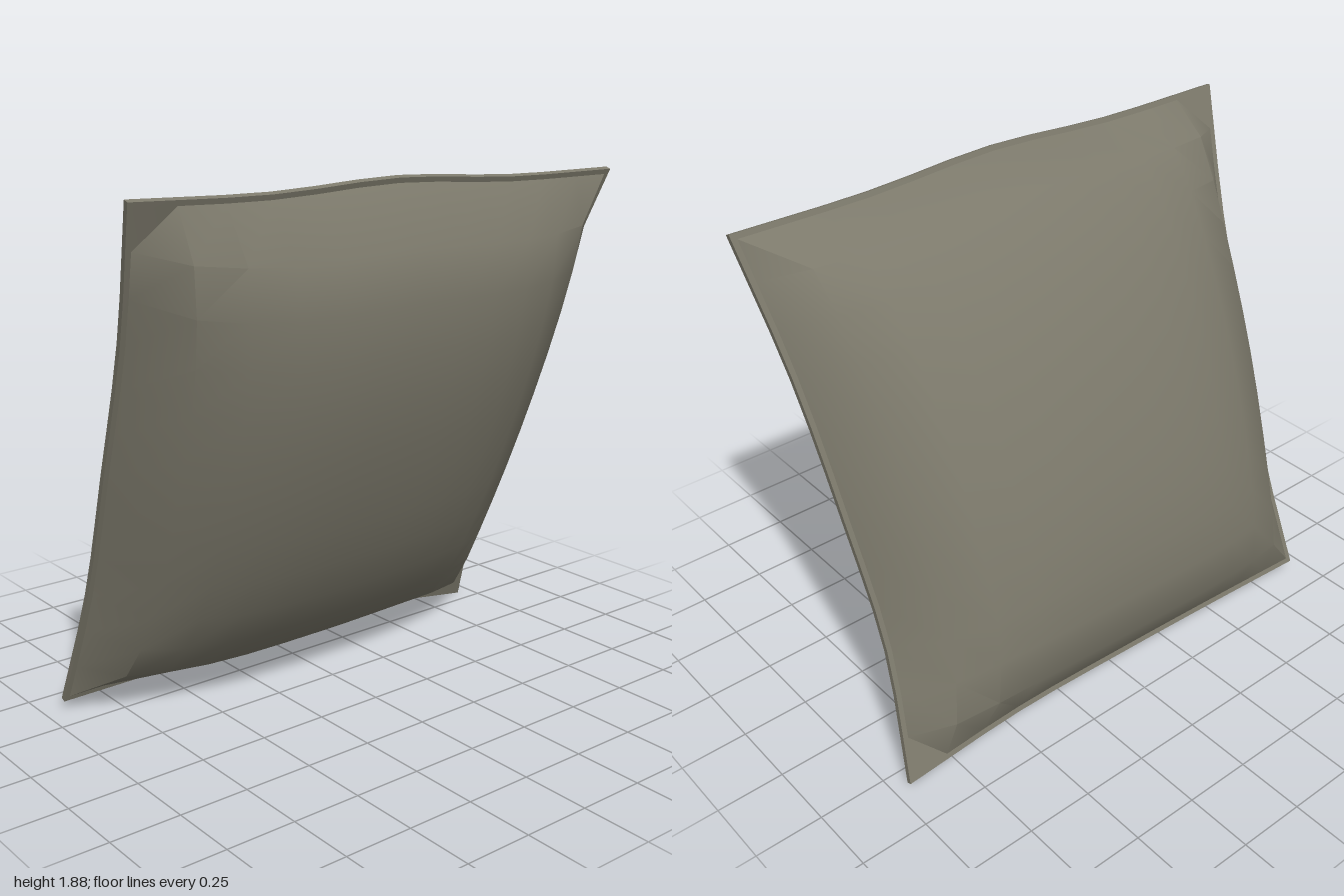
import * as THREE from 'three';
import { toCreasedNormals } from 'three/addons/utils/BufferGeometryUtils.js';

const V = (x, y, z) => new THREE.Vector3(x, y, z);
const curve = (...p) => new THREE.CatmullRomCurve3(p.map((a) => V(...a)));

// Seam edges: bottom and top run back to front, back and front run bottom to top
const bottom = curve([-0.32, 0.005, -0.94], [-0.335, 0.06, -0.47], [-0.345, 0.06, 0], [-0.355, 0.05, 0.47], [-0.37, 0.04, 0.93]);
const top = curve([0.36, 1.85, -1], [0.35, 1.85, -0.5], [0.345, 1.875, 0], [0.33, 1.852, 0.5], [0.31, 1.86, 1]);
const back = curve([-0.32, 0.005, -0.94], [-0.16, 0.47, -0.89], [0, 0.93, -0.91], [0.18, 1.4, -0.94], [0.36, 1.85, -1]);
const front = curve([-0.37, 0.04, 0.93], [-0.2, 0.48, 0.91], [-0.02, 0.95, 0.93], [0.15, 1.41, 0.95], [0.31, 1.86, 1]);

const NORMAL = V(0.938, -0.347, 0); // points out of the lower, +x face
const SEAM = 0.01; // half thickness of the seam
const RIM = 0.01; // share of the width taken by the flat seam
const N = 12;

// Grid lines: a narrow seam at both ends and even cells between
const LINES = [0, RIM, ...Array.from({ length: N - 1 }, (_, i) => (i + 1) / N), 1 - RIM, 1];

// Sheet blended between the four seam edges
function sheet(u, v) {
  const p = V(0, 0, 0);
  const add = (q, k) => p.addScaledVector(q, k);
  add(bottom.getPoint(u), 1 - v);
  add(top.getPoint(u), v);
  add(back.getPoint(v), 1 - u);
  add(front.getPoint(v), u);
  add(bottom.getPoint(0), -(1 - u) * (1 - v));
  add(bottom.getPoint(1), -u * (1 - v));
  add(top.getPoint(0), -(1 - u) * v);
  add(top.getPoint(1), -u * v);
  return p;
}

// Rounded rise from the seam, flat on the seam itself
function dome(t, p) {
  const s = Math.min(1, Math.abs(2 * t - 1) / (1 - 2 * RIM));
  return Math.sqrt(1 - s ** p);
}

// Stuffed face: side is +1 or -1, height is the depth of the stuffing
function face(side, height) {
  return (u, v) => {
    const d = SEAM + (height - SEAM) * dome(u, 2.5) * dome(v, 2.2);
    return sheet(u, v).addScaledVector(NORMAL, side * d);
  };
}

// Grid surface from a rule, sampled on the given lines
function surface(rule, us, vs, flip) {
  const pos = vs.flatMap((v) => us.flatMap((u) => rule(u, v).toArray()));
  const index = [];
  for (let j = 0; j < vs.length - 1; j++) {
    for (let i = 0; i < us.length - 1; i++) {
      const a = j * us.length + i;
      const b = a + 1;
      const c = a + us.length;
      const d = c + 1;
      if (flip) index.push(a, c, b, b, c, d);
      else index.push(a, b, c, b, d, c);
    }
  }
  const g = new THREE.BufferGeometry();
  g.setAttribute('position', new THREE.Float32BufferAttribute(pos, 3));
  g.setIndex(index);
  return toCreasedNormals(g, 0.6);
}

export function createModel() {
  const group = new THREE.Group();
  group.name = 'cushion';
  const fabric = new THREE.MeshStandardMaterial({ color: 0x7c796b });
  fabric.name = 'olive grey fabric';

  const add = (name, geometry) => {
    const mesh = new THREE.Mesh(geometry, fabric);
    mesh.name = name;
    group.add(mesh);
  };

  // Two stuffed faces
  add('lowerFace', surface(face(1, 0.364), LINES, LINES, true));
  add('upperFace', surface(face(-1, 0.335), LINES, LINES, false));

  // Outer band of the seam around the four edges
  const sides = {
    bottomSeam: (s) => sheet(s, 0),
    frontSeam: (s) => sheet(1, s),
    topSeam: (s) => sheet(1 - s, 1),
    backSeam: (s) => sheet(0, 1 - s),
  };
  for (const [name, edge] of Object.entries(sides)) {
    const band = (s, w) => edge(s).addScaledVector(NORMAL, SEAM * w);
    add(name, surface(band, LINES, [-1, 1], true));
  }
  return group;
}
